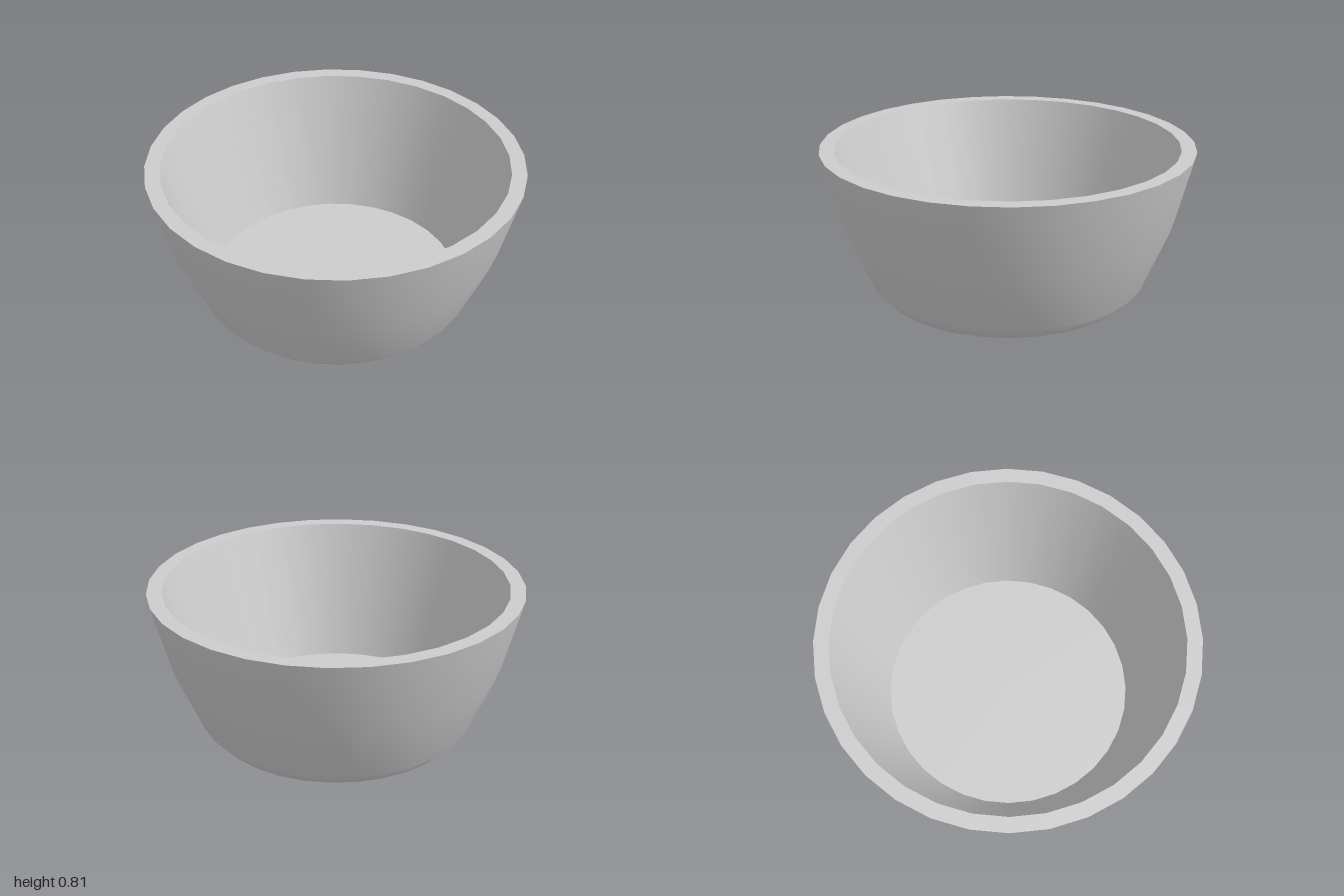
import * as THREE from 'three';

const SIDES = 32;

export function createModel() {
  const bowl = new THREE.Group();
  bowl.name = 'bowl';
  const material = new THREE.MeshStandardMaterial({ color: 0xcccccc });

  // Each part is turned from its own [radius, height] profile, so the edges between parts stay sharp.
  const turn = (name, profile) => {
    const points = profile.map(([r, y]) => new THREE.Vector2(r, y));
    const mesh = new THREE.Mesh(new THREE.LatheGeometry(points, SIDES), material);
    mesh.name = name;
    bowl.add(mesh);
  };

  const height = 0.81, floorY = 0.06;
  const baseRadius = 0.69, floorRadius = 0.675, mouthRadius = 0.92;

  // Flat underside
  turn('base', [[0, 0], [baseRadius, 0]]);
  // Outside, bevelled at the foot and gently curved up to the rim
  turn('outerWall', [[baseRadius, 0], [0.755, 0.07], [0.9, 0.42], [0.98, 0.73], [1, height]]);
  // Flat top edge
  turn('rim', [[1, height], [mouthRadius, height]]);
  // Straight tapered inside
  turn('innerWall', [[mouthRadius, height], [floorRadius, floorY]]);
  // Flat inside bottom
  turn('floor', [[floorRadius, floorY], [0, floorY]]);

  return bowl;
}
